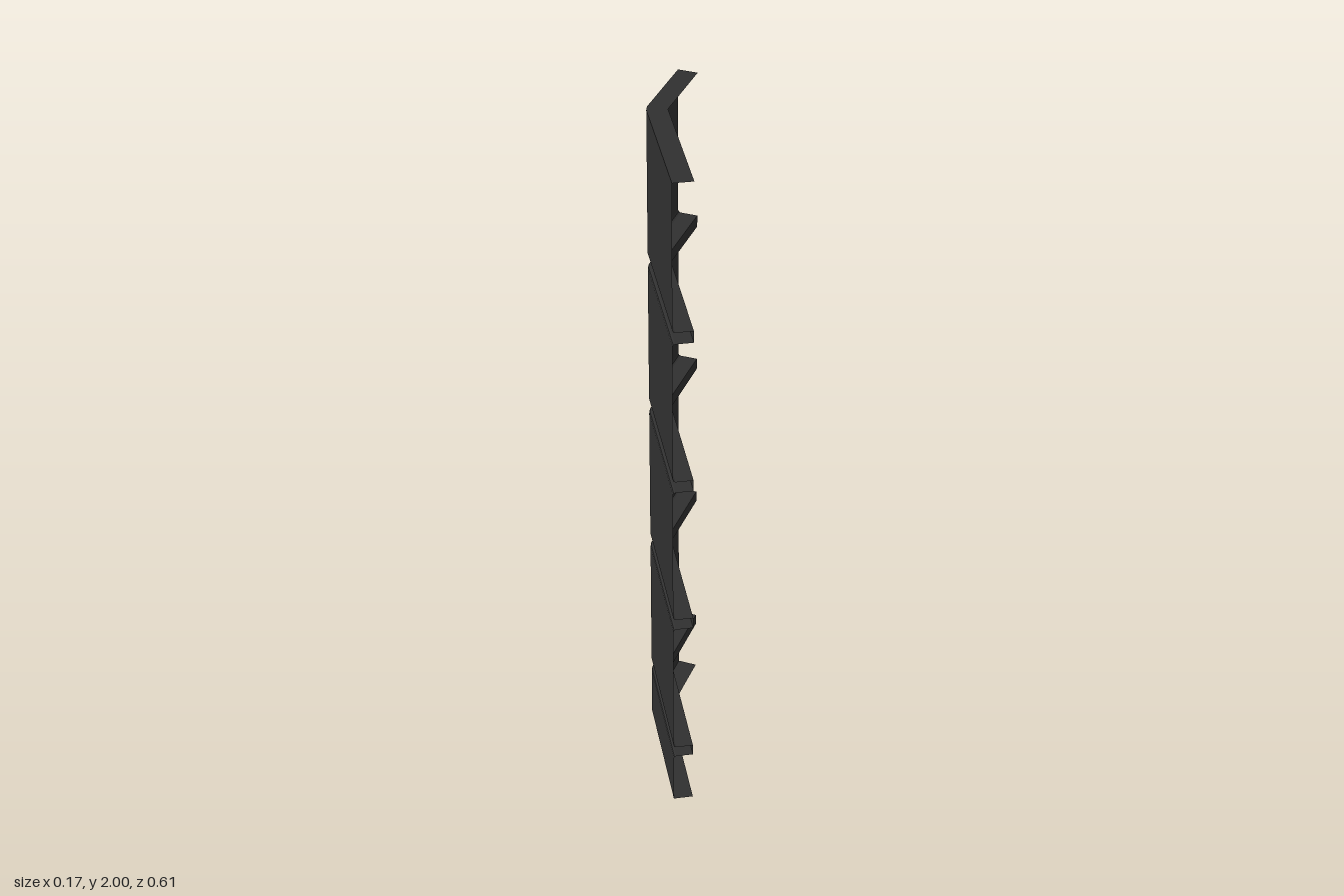
import * as THREE from 'three';

// Plan of the sheet: outer edge points [x, z], and the angle (degrees) and mitre half-angle of each depth direction
const PLAN = [
  { x: -0.083, z: 0.302, angle: 0, half: 0 },
  { x: -0.083, z: -0.089, angle: 7.5, half: 7.5 },
  { x: -0.078, z: -0.108, angle: 22.5, half: 7.5 },
  { x: 0.035, z: -0.303, angle: 30, half: 0 },
];
const DEPTH = 0.055;
const JOINTS = [0.178, 0.638, 1.098, 1.558]; // heights of the joints
const HALF = 0.017; // half height of a joint channel
const ROUND = 0.007; // rounding at the panel edges

// Point on the sheet at plan station p, depth d behind the face, height y
function at(p, d, y) {
  const a = THREE.MathUtils.degToRad(p.angle);
  const m = d / Math.cos(THREE.MathUtils.degToRad(p.half));
  return [p.x + m * Math.cos(a), y, p.z + m * Math.sin(a)];
}

// Sweeps a [depth, height] profile along the plan, with flat facets
function sweep(name, profile, material) {
  const pos = [];
  for (let i = 0; i < PLAN.length - 1; i++) {
    for (let j = 0; j < profile.length - 1; j++) {
      const a = at(PLAN[i], ...profile[j]);
      const b = at(PLAN[i + 1], ...profile[j]);
      const c = at(PLAN[i + 1], ...profile[j + 1]);
      const d = at(PLAN[i], ...profile[j + 1]);
      pos.push(...a, ...c, ...b, ...a, ...d, ...c);
    }
  }
  const geometry = new THREE.BufferGeometry();
  geometry.setAttribute('position', new THREE.Float32BufferAttribute(pos, 3));
  geometry.computeVertexNormals();
  const mesh = new THREE.Mesh(geometry, material);
  mesh.name = name;
  return mesh;
}

export function createModel() {
  const group = new THREE.Group();
  group.name = 'bentCladdingSheet';
  const metal = new THREE.MeshStandardMaterial({ color: 0x303030, side: THREE.DoubleSide });
  metal.name = 'charcoal';

  // Flat panels between the joints
  const edge = HALF + ROUND;
  const starts = [0, ...JOINTS.map((y) => y + edge)];
  const ends = [...JOINTS.map((y) => y - edge), 2];
  starts.forEach((y, i) => group.add(sweep('panel', [[0, y], [0, ends[i]]], metal)));

  // Recessed joints with softened edges
  const k = ROUND * 0.3;
  for (const y of JOINTS) {
    group.add(sweep('joint', [
      [0, y - edge], [k, y - HALF - k], [ROUND, y - HALF],
      [DEPTH, y - HALF], [DEPTH, y + HALF],
      [ROUND, y + HALF], [k, y + HALF + k], [0, y + edge],
    ], metal));
  }

  // Return flanges at the foot and the head
  group.add(sweep('bottomFlange', [[DEPTH, 0], [0, 0]], metal));
  group.add(sweep('topFlange', [[0, 2], [DEPTH, 2]], metal));
  return group;
}
